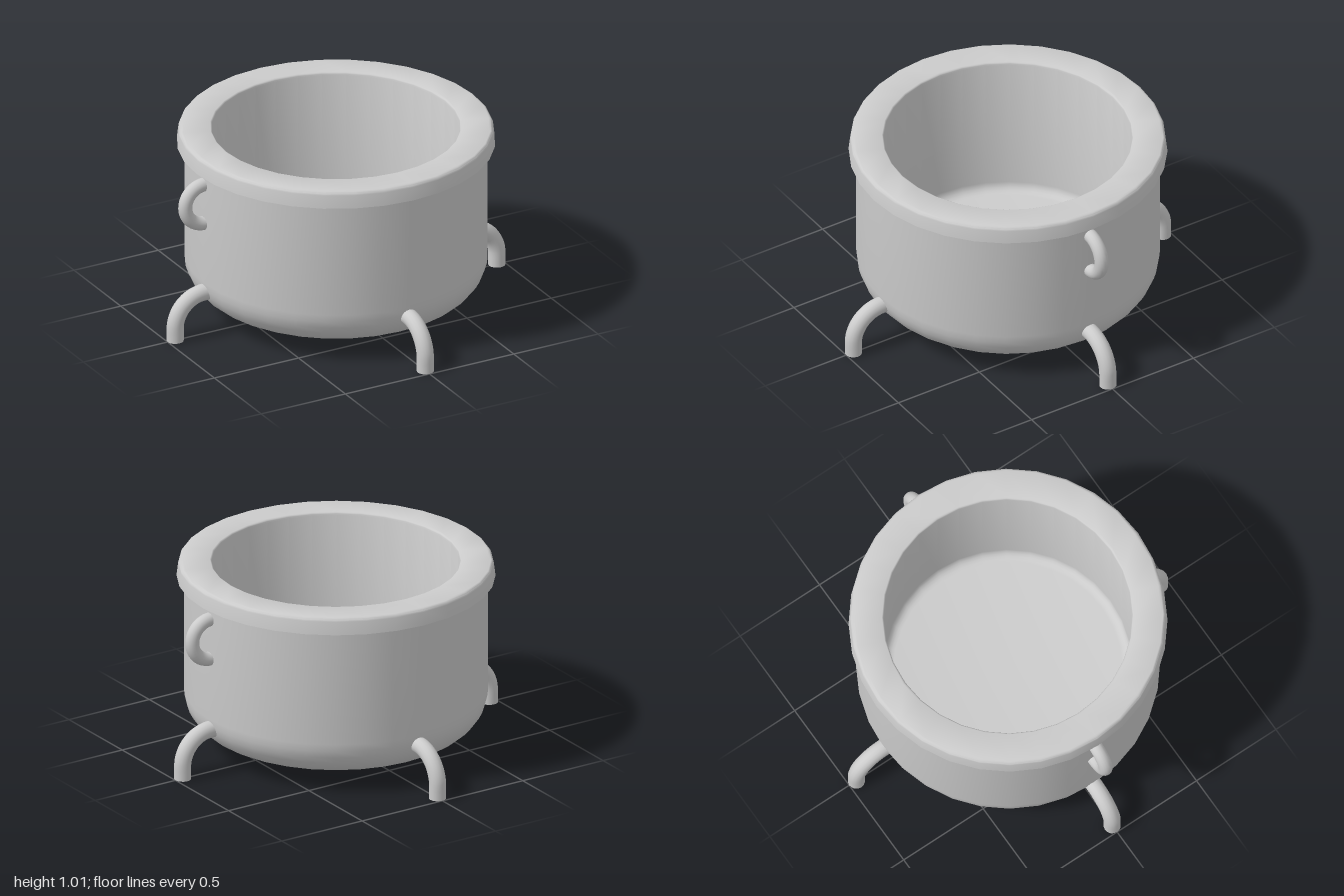
import * as THREE from 'three';
import { toCreasedNormals } from 'three/addons/utils/BufferGeometryUtils.js';

const material = new THREE.MeshStandardMaterial({ color: 0xcccccc });

// Rounded corner of a profile: centre, radius, start and end angle in degrees
function corner(cx, cy, r, from, to, steps) {
  const points = [];
  for (let i = 0; i <= steps; i++) {
    const a = THREE.MathUtils.degToRad(from + ((to - from) * i) / steps);
    points.push(new THREE.Vector2(cx + r * Math.cos(a), cy + r * Math.sin(a)));
  }
  return points;
}

function add(parent, name, geometry) {
  const mesh = new THREE.Mesh(geometry, material);
  mesh.name = name;
  parent.add(mesh);
  return mesh;
}

export function createModel() {
  const model = new THREE.Group();
  model.name = 'cookingPot';
  const v = (x, y) => new THREE.Vector2(x, y);

  // Pot: outside wall, overhanging rim, then down the inside to the floor
  const profile = [
    v(0, 0.085),
    ...corner(0.58, 0.295, 0.21, -90, 0, 8),
    v(0.79, 0.925),
    v(0.828, 0.925),
    ...corner(0.797, 0.992, 0.023, 8, 90, 4),
    ...corner(0.66, 1.0, 0.015, 90, 180, 4),
    ...corner(0.595, 0.25, 0.05, 0, -90, 5),
    v(0, 0.2),
  ];
  add(model, 'pot', toCreasedNormals(new THREE.LatheGeometry(profile, 32), 0.6));

  // Handles: half rings on the left and right
  for (const side of [0, 1]) {
    const arc = Math.PI * 1.1;
    const ring = new THREE.TorusGeometry(0.11, 0.037, 16, 24, arc);
    ring.rotateZ(-arc / 2);
    ring.translate(0.785, 0.745, 0);
    const handle = add(model, side ? 'rightHandle' : 'leftHandle', ring);
    handle.rotation.y = side * Math.PI;
  }

  // Legs: bent rods leaving the wall and turning down to the ground
  const bend = corner(0.785, 0.068, 0.17, 90, 0, 12).map((p) => new THREE.Vector3(p.x, p.y, 0));
  const path = new THREE.CatmullRomCurve3([
    new THREE.Vector3(0.72, 0.238, 0),
    ...bend,
    new THREE.Vector3(0.955, 0.034, 0),
    new THREE.Vector3(0.955, 0, 0),
  ]);
  const rod = new THREE.TubeGeometry(path, 24, 0.045, 16);
  const sole = new THREE.CircleGeometry(0.045, 16);
  sole.rotateX(Math.PI / 2);
  sole.translate(0.955, 0, 0);
  ['leftLeg', 'backLeg', 'rightLeg', 'frontLeg'].forEach((name, i) => {
    const leg = new THREE.Group();
    leg.name = name;
    add(leg, name + 'Rod', rod);
    add(leg, name + 'Sole', sole);
    leg.rotation.y = (i * Math.PI) / 2;
    model.add(leg);
  });

  return model;
}
